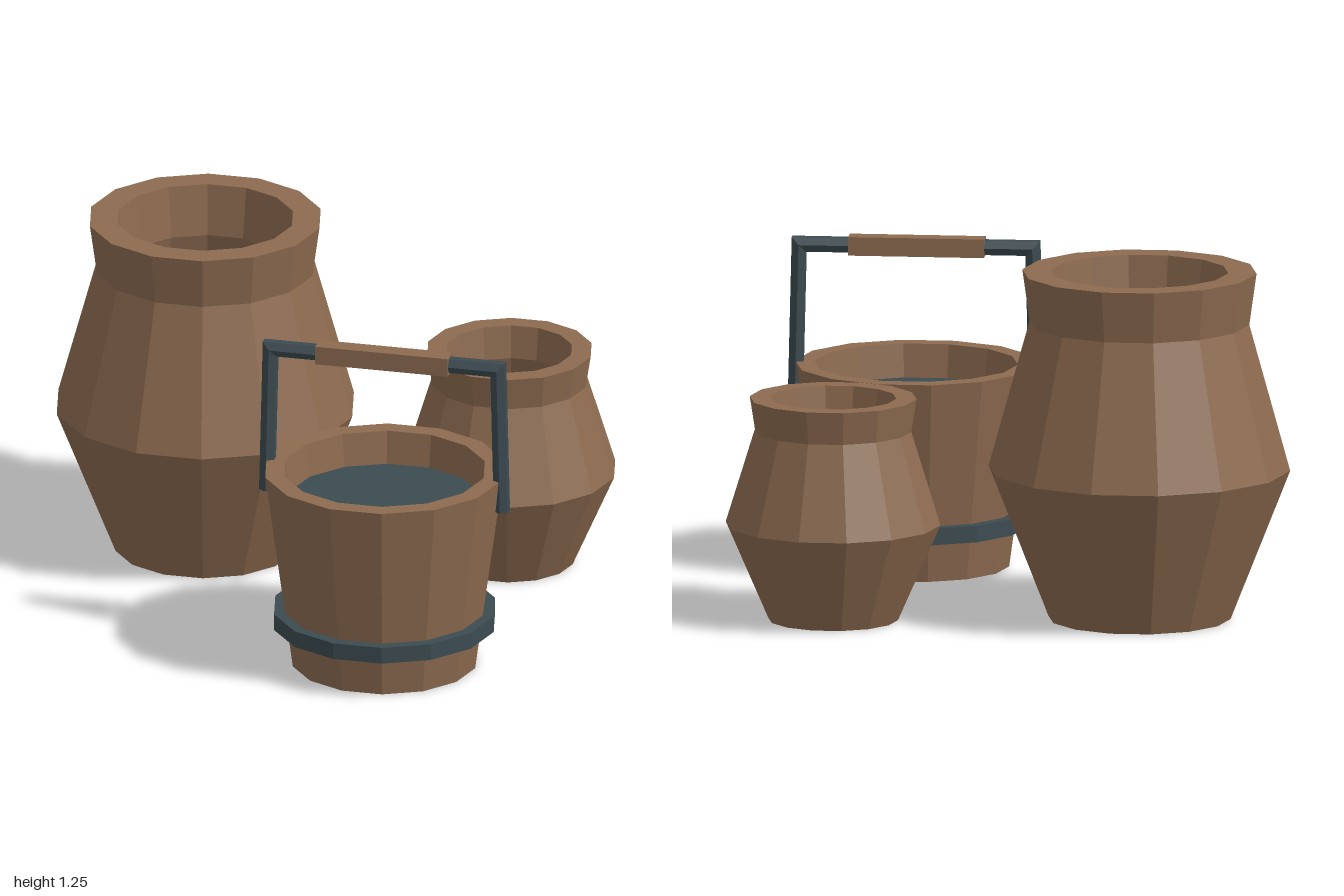
import * as THREE from 'three';

const SIDES = 14;

// Faceted solid of revolution with a corner on the x axis
function turned(name, profile, material) {
  const points = profile.map(([r, y]) => new THREE.Vector2(r, y));
  const mesh = new THREE.Mesh(new THREE.LatheGeometry(points, SIDES, Math.PI / 2), material);
  mesh.name = name;
  return mesh;
}

// Hexagonal bar swept along a path in the xy plane, with mitred corners
function bar(path, radius) {
  const N = 6, pos = [], index = [];
  const pts = path.map(([x, y]) => new THREE.Vector2(x, y));
  const dirs = pts.slice(1).map((p, i) => p.clone().sub(pts[i]).normalize());
  pts.forEach((p, i) => {
    const before = dirs[Math.max(i - 1, 0)], after = dirs[Math.min(i, dirs.length - 1)];
    const t = before.clone().add(after).normalize();
    const miter = 1 / t.dot(after);
    for (let k = 0; k < N; k++) {
      const a = Math.PI / 6 + (k / N) * Math.PI * 2;
      const u = Math.cos(a) * radius * miter;
      pos.push(p.x - t.y * u, p.y + t.x * u, Math.sin(a) * radius);
    }
  });
  for (let i = 0; i < pts.length - 1; i++) {
    for (let k = 0; k < N; k++) {
      const a = i * N + k, b = i * N + (k + 1) % N;
      index.push(a, b, a + N, b, b + N, a + N);
    }
  }
  // End caps
  const last = (pts.length - 1) * N;
  for (let k = 1; k < N - 1; k++) {
    index.push(0, k + 1, k, last, last + k, last + k + 1);
  }
  const geometry = new THREE.BufferGeometry();
  geometry.setAttribute('position', new THREE.Float32BufferAttribute(pos, 3));
  geometry.setIndex(index);
  geometry.computeVertexNormals();
  return geometry;
}

export function createModel() {
  const clay = new THREE.MeshStandardMaterial({ color: 0x8d6b50, flatShading: true });
  clay.name = 'brown';
  const iron = new THREE.MeshStandardMaterial({ color: 0x3c4b51, flatShading: true });
  iron.name = 'dark slate';

  const model = new THREE.Group();
  model.name = 'potsAndBucket';

  // Two hollow pots sharing one profile
  const potProfile = [
    [0, 0], [0.325, 0], [0.538, 0.54], [0.392, 1.065], [0.418, 1.25],
    [0.317, 1.25], [0.293, 1.065], [0.43, 0.54], [0.207, 0.1], [0, 0.1],
  ];
  const largePot = turned('largePot', potProfile, clay);
  largePot.position.set(-0.462, 0, -0.405);
  const smallPot = turned('smallPot', potProfile, clay);
  smallPot.scale.set(0.712, 0.64, 0.712);
  smallPot.position.set(0.617, 0, -0.543);
  model.add(largePot, smallPot);

  // Bucket with its hoop and water
  const bucket = new THREE.Group();
  bucket.name = 'bucket';
  bucket.position.set(0.426, 0, 0.502);
  bucket.add(turned('bucketBody', [
    [0, 0], [0.332, 0], [0.432, 0.73], [0.363, 0.73], [0.343, 0.58], [0, 0.58],
  ], clay));
  bucket.add(turned('hoop', [
    [0.345, 0.145], [0.4, 0.145], [0.4, 0.205], [0.345, 0.205],
  ], iron));
  bucket.add(turned('water', [[0.348, 0.61], [0, 0.61]], iron));

  // Carrying handle with a wooden grip
  const handle = new THREE.Mesh(
    bar([[-0.43, 0.612], [-0.417, 1.152], [0.417, 1.152], [0.43, 0.612]], 0.03), iron);
  handle.name = 'handle';
  const grip = new THREE.Mesh(new THREE.BoxGeometry(0.485, 0.067, 0.067), clay);
  grip.name = 'grip';
  grip.position.set(-0.003, 1.152, 0);
  bucket.add(handle, grip);
  model.add(bucket);

  return model;
}
